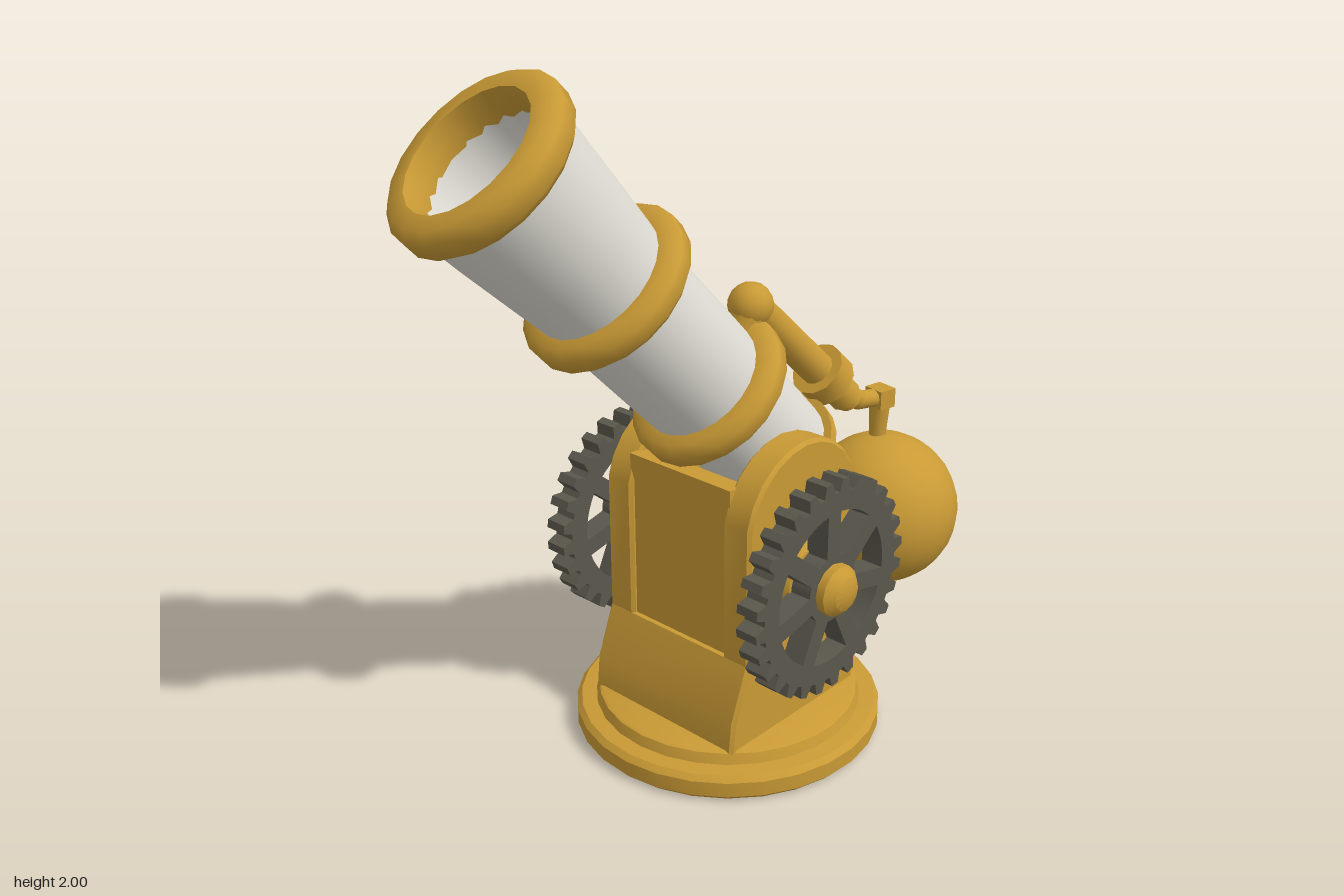
import * as THREE from 'three';
import { toCreasedNormals } from 'three/addons/utils/BufferGeometryUtils.js';

const brass = new THREE.MeshStandardMaterial({ color: 0xc99a35 });
brass.name = 'brass';
const iron = new THREE.MeshStandardMaterial({ color: 0x5a574c });
iron.name = 'dark iron';
const enamel = new THREE.MeshStandardMaterial({ color: 0xdedcd3, side: THREE.DoubleSide });
enamel.name = 'white enamel';

function add(parent, name, geometry, material, x = 0, y = 0, z = 0) {
  const mesh = new THREE.Mesh(geometry, material);
  mesh.name = name;
  mesh.position.set(x, y, z);
  parent.add(mesh);
  return mesh;
}

const V2 = (list) => list.map(([x, y]) => new THREE.Vector2(x, y));
const crease = (g, angle = 0.6) => toCreasedNormals(g, angle);

// Rod between two points in the z = 0 plane
function rod(parent, name, a, b, r0, r1 = r0, material = brass) {
  const dx = b[0] - a[0], dy = b[1] - a[1];
  const g = crease(new THREE.CylinderGeometry(r1, r0, Math.hypot(dx, dy), 12));
  const mesh = add(parent, name, g, material, (a[0] + b[0]) / 2, (a[1] + b[1]) / 2);
  mesh.rotation.z = Math.atan2(-dx, dy);
  return mesh;
}

// Rounded band around the barrel
function band(inner, outer, half) {
  const c = 0.025;
  return new THREE.LatheGeometry(V2([
    [inner, -half], [outer - c, -half], [outer, -half + c], [outer, half - c],
    [outer - c, half], [inner, half], [inner - 0.01, 0], [inner, -half],
  ]), 20);
}

// Spoked gear with square teeth
function gearGeometry() {
  const teeth = 28, spokes = 7, depth = 0.07, shape = new THREE.Shape();
  for (let i = 0; i < teeth; i++) {
    [[0, 0.287], [0.2, 0.322], [0.55, 0.322], [0.72, 0.287]].forEach(([f, r], k) => {
      const a = ((i + f) / teeth) * Math.PI * 2;
      const x = r * Math.cos(a), y = r * Math.sin(a);
      if (i + k === 0) shape.moveTo(x, y); else shape.lineTo(x, y);
    });
  }
  shape.closePath();
  for (let i = 0; i < spokes; i++) {
    const mid = ((i + 0.25) / spokes) * Math.PI * 2, hole = new THREE.Path();
    hole.absarc(0, 0, 0.228, mid - 0.33, mid + 0.33, false);
    hole.absarc(0, 0, 0.1, mid + 0.17, mid - 0.17, true);
    hole.closePath();
    shape.holes.push(hole);
  }
  const g = new THREE.ExtrudeGeometry(shape, { depth, bevelEnabled: false, curveSegments: 6 });
  return crease(g.translate(0, 0, -depth / 2), 0.5);
}

function slab(points, depth, z) {
  const g = new THREE.ExtrudeGeometry(new THREE.Shape(points), {
    depth: depth - 0.02, bevelThickness: 0.01, bevelSize: 0.01, bevelOffset: -0.01, bevelSegments: 1,
  });
  return crease(g.translate(0, 0, z - depth / 2 + 0.01), 0.5);
}

function createModel() {
  const model = new THREE.Group();
  model.name = 'swivelCannon';

  // Round stepped base
  add(model, 'base', crease(new THREE.LatheGeometry(V2([
    [0, 0], [0.445, 0], [0.46, 0.015], [0.46, 0.06], [0.445, 0.076],
    [0.4, 0.08], [0.39, 0.11], [0.38, 0.115], [0, 0.115],
  ]), 28)), brass, 0.065);

  // Carriage, turned slightly on the base
  const carriage = new THREE.Group();
  carriage.name = 'carriage';
  carriage.position.x = 0.045;
  carriage.rotation.y = 0.17;
  model.add(carriage);

  add(carriage, 'carriageFoot', slab(V2([
    [-0.27, 0.1], [0.29, 0.1], [0.285, 0.19], [0.24, 0.36], [-0.2, 0.36], [-0.26, 0.2],
  ]), 0.55, 0), brass);

  // Cheeks with rounded tops, each carrying a gear
  const cheek = V2([[-0.2, 0.34], [0.24, 0.34], [0.27, 0.65]]);
  for (let i = 0; i <= 10; i++) {
    const a = 0.2 + (i / 10) * (Math.PI - 0.4);
    cheek.push(new THREE.Vector2(0.035 + 0.24 * Math.cos(a), 0.73 + 0.24 * Math.sin(a)));
  }
  const gear = gearGeometry();
  for (const s of [1, -1]) {
    add(carriage, 'cheek', slab(cheek, 0.1, s * 0.225), brass);
    add(carriage, 'bearing', crease(new THREE.CylinderGeometry(0.11, 0.13, 0.08, 14)
      .rotateX(s * Math.PI / 2)), brass, 0, 0.58, s * 0.3);
    add(carriage, 'gear', gear, iron, 0, 0.58, s * 0.37);
    add(carriage, 'gearHub', crease(new THREE.LatheGeometry(V2([
      [0.075, 0], [0.075, 0.055], [0.05, 0.08], [0, 0.09],
    ]), 12).rotateX(s * Math.PI / 2)), brass, 0, 0.58, s * 0.375);
  }
  add(carriage, 'frontWall', new THREE.BoxGeometry(0.06, 0.54, 0.38), brass, -0.155, 0.6, 0);
  add(carriage, 'axle', crease(new THREE.CylinderGeometry(0.07, 0.07, 0.6, 14)
    .rotateX(Math.PI / 2)), iron, 0, 0.58, 0);

  // Barrel, built upright along its own axis and then tilted
  const barrel = new THREE.Group();
  barrel.name = 'barrel';
  barrel.position.set(-0.01, 1.08, 0);
  barrel.rotation.z = 0.75;
  model.add(barrel);
  add(barrel, 'barrelTube', new THREE.LatheGeometry(V2([
    [0.175, -0.36], [0.18, -0.1], [0.185, 0.1], [0.19, 0.48], [0.205, 0.65], [0.222, 0.85], [0.23, 0.98],
  ]), 24), enamel);
  add(barrel, 'barrelLining', new THREE.LatheGeometry(V2([
    [0, 0.45], [0.17, 0.45], [0.19, 1.0],
  ]), 24), enamel);
  add(barrel, 'muzzleBand', crease(band(0.19, 0.262, 0.05), 0.9), brass, 0, 0.985);
  add(barrel, 'middleBand', crease(band(0.18, 0.25, 0.046), 0.9), brass, 0, 0.485);
  add(barrel, 'lowerBand', crease(band(0.17, 0.242, 0.046), 0.9), brass, 0, 0);
  add(barrel, 'breechCap', crease(new THREE.CylinderGeometry(0.2, 0.2, 0.03, 24)), brass, 0, -0.36);

  // Jointed arm holding the weight
  const arm = new THREE.Group();
  arm.name = 'arm';
  model.add(arm);
  rod(arm, 'armMount', [0.1, 1.18], [0.14, 1.29], 0.05, 0.06);
  add(arm, 'armElbow', new THREE.IcosahedronGeometry(0.066, 2), brass, 0.14, 1.29);
  rod(arm, 'armBeam', [0.14, 1.29], [0.51, 0.93], 0.052);
  rod(arm, 'armCollar', [0.395, 1.042], [0.445, 0.993], 0.085);
  rod(arm, 'armEnd', [0.48, 0.96], [0.53, 0.91], 0.045, 0.04);
  rod(arm, 'armLink', [0.5, 0.94], [0.57, 0.9], 0.04, 0.03);
  rod(arm, 'armLink', [0.56, 0.9], [0.66, 0.89], 0.028);
  add(arm, 'armKnuckle', new THREE.BoxGeometry(0.06, 0.06, 0.07), brass, 0.66, 0.89, 0);
  rod(arm, 'weightHanger', [0.66, 0.89], [0.655, 0.75], 0.035, 0.025);
  add(arm, 'weightBall', new THREE.SphereGeometry(0.24, 24, 16), brass, 0.655, 0.53, 0.03);

  return model;
}

export { createModel };
